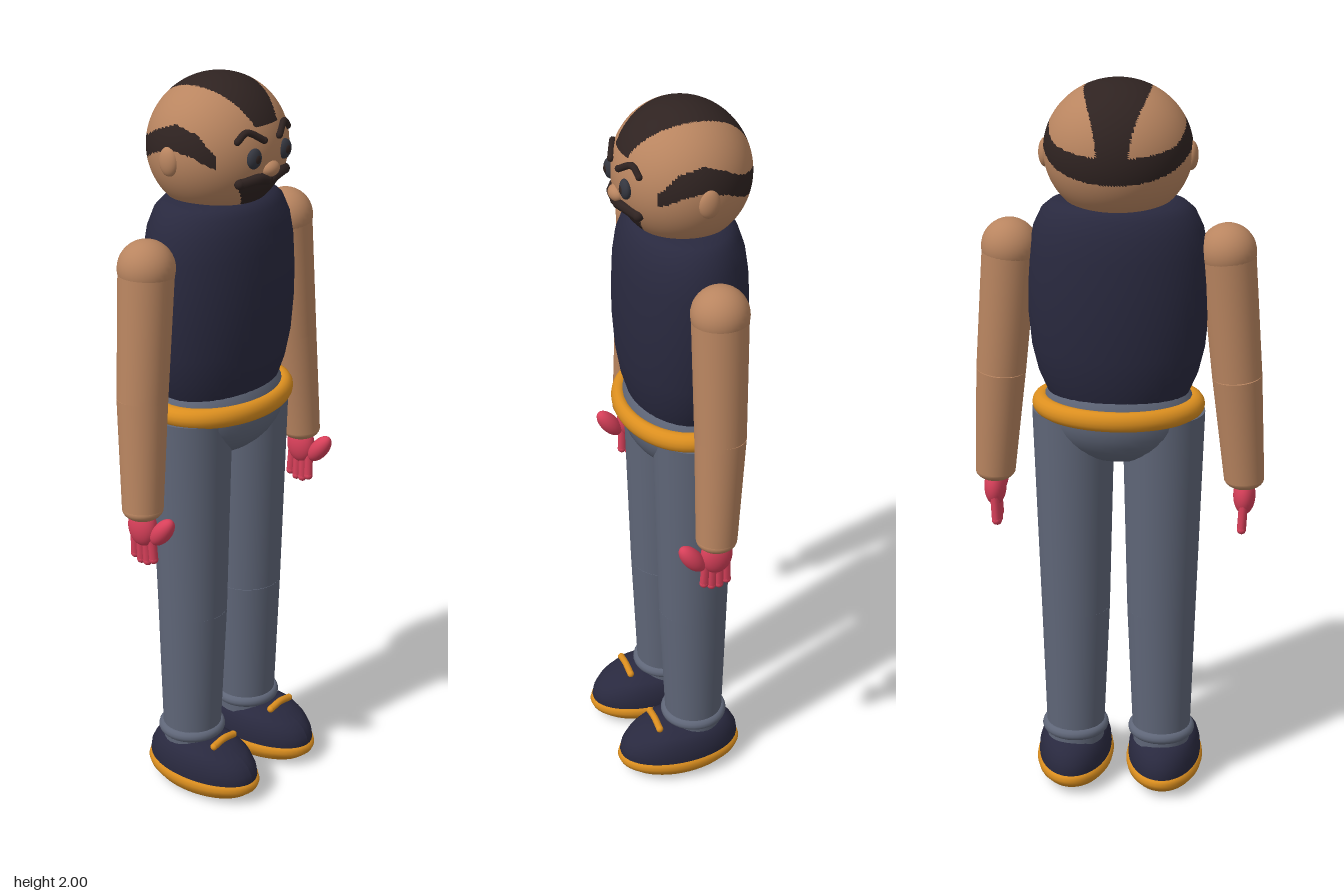
import * as THREE from 'three';

const mat = (name, color) => {
  const m = new THREE.MeshStandardMaterial({ color });
  m.name = name;
  return m;
};
const V = (x, y, z) => new THREE.Vector3(x, y, z);

// Head ellipsoid: centre and half sizes
const HC = V(0, 1.82, -0.026), HR = V(0.19, 0.18, 0.175);
const faceZ = (x, y) =>
  HC.z + HR.z * Math.sqrt(Math.max(0, 1 - (x / HR.x) ** 2 - ((y - HC.y) / HR.y) ** 2));

// Linear interpolation through [position, value] pairs
function ramp(pairs, t) {
  if (t <= pairs[0][0]) return pairs[0][1];
  for (let i = 1; i < pairs.length; i++) {
    const [a, b] = [pairs[i - 1], pairs[i]];
    if (t <= b[0]) return a[1] + ((b[1] - a[1]) * (t - a[0])) / (b[0] - a[0]);
  }
  return pairs[pairs.length - 1][1];
}

// Which points of the head are covered by hair or beard
const bandMiddle = [[-0.2, 1.8], [-0.13, 1.825], [-0.08, 1.852], [-0.02, 1.873], [0.04, 1.858], [0.085, 1.82]];
const bandHalf = [[-0.2, 0.036], [-0.12, 0.028], [-0.02, 0.03], [0.05, 0.028], [0.09, 0.016]];
function isHair({ x, y, z }) {
  const ax = Math.abs(x);
  const stripe = ax < 0.085 - 0.042 * ((z + 0.03) / 0.16) ** 2;
  if (stripe && (z > 0 ? y > 1.895 : y > 1.8)) return true;
  if (z < 0.088 && Math.abs(y - ramp(bandMiddle, z)) < ramp(bandHalf, z)) return true;
  return z > 0 && y < 1.765 && y > 1.67 && ax < ramp([[1.68, 0.04], [1.74, 0.085], [1.765, 0.075]], y);
}

export function createModel() {
  const skin = mat('skin', 0xb98560);
  const hair = mat('hair', 0x2f2321);
  const navy = mat('navy cloth', 0x29293f);
  const grey = mat('grey trousers', 0x5f6678);
  const gold = mat('gold trim', 0xdc8f1f);
  const red = mat('red glove', 0xd8405a);
  const eyeDark = mat('eye', 0x34363f);

  const model = new THREE.Group();
  model.name = 'standingMan';
  const group = (name) => {
    const g = new THREE.Group();
    g.name = name;
    model.add(g);
    return g;
  };
  const add = (parent, name, geo, material) => {
    const m = new THREE.Mesh(geo, material);
    m.name = name;
    parent.add(m);
    return m;
  };
  const ball = (parent, name, material, c, r) => {
    const m = add(parent, name, new THREE.SphereGeometry(1, 32, 20), material);
    m.position.copy(c);
    m.scale.copy(r);
    return m;
  };
  // Tapered round limb from a (top) to b (bottom)
  const limb = (parent, name, material, a, b, ra, rb) => {
    const m = add(parent, name, new THREE.CylinderGeometry(ra, rb, a.distanceTo(b), 32), material);
    m.position.copy(a).lerp(b, 0.5);
    m.quaternion.setFromUnitVectors(V(0, 1, 0), a.clone().sub(b).normalize());
    return m;
  };
  const tube = (parent, name, material, pts, r) => {
    add(parent, name, new THREE.TubeGeometry(new THREE.CatmullRomCurve3(pts), 16, r, 8), material);
    for (const p of [pts[0], pts[pts.length - 1]]) ball(parent, name + 'End', material, p, V(r, r, r));
  };
  const lathe = (parent, name, material, profile, c, sx, sz) => {
    const pts = profile.map(([r, y]) => new THREE.Vector2(r, y));
    const m = add(parent, name, new THREE.LatheGeometry(pts, 48), material);
    m.position.copy(c);
    m.scale.set(sx, 1, sz);
    return m;
  };

  // Head: one fine ellipsoid, its faces sorted into skin and hair
  const head = group('head');
  const geo = new THREE.SphereGeometry(1, 160, 112);
  geo.scale(HR.x, HR.y, HR.z).translate(HC.x, HC.y, HC.z);
  const pos = geo.attributes.position, idx = geo.index.array;
  const sorted = [[], []];
  for (let i = 0; i < idx.length; i += 3) {
    const tri = [idx[i], idx[i + 1], idx[i + 2]];
    const c = V(0, 0, 0);
    tri.forEach((k) => c.add(V(pos.getX(k), pos.getY(k), pos.getZ(k))));
    sorted[isHair(c.divideScalar(3)) ? 1 : 0].push(...tri);
  }
  geo.setIndex([...sorted[0], ...sorted[1]]);
  geo.addGroup(0, sorted[0].length, 0);
  geo.addGroup(sorted[0].length, sorted[1].length, 1);
  add(head, 'skullAndHair', geo, [skin, hair]);

  ball(head, 'nose', skin, V(0, 1.783, 0.142), V(0.029, 0.021, 0.022));
  for (const s of [1, -1]) {
    const onFace = (x, y, out) => V(s * x, y, faceZ(x, y) + out);
    ball(head, 'ear', skin, V(s * 0.185, 1.81, -0.03), V(0.018, 0.038, 0.028));
    ball(head, 'eye', eyeDark, onFace(0.06, 1.82, 0), V(0.024, 0.026, 0.014));
    ball(head, 'pupil', hair, onFace(0.06, 1.82, 0.008), V(0.012, 0.013, 0.008));
    tube(head, 'eyebrow', hair,
      [onFace(0.1, 1.867, 0.003), onFace(0.075, 1.886, 0.005), onFace(0.03, 1.862, 0.005)], 0.009);
    tube(head, 'moustache', hair,
      [onFace(0.01, 1.758, 0.004), onFace(0.045, 1.765, 0.004), onFace(0.09, 1.758, 0.002)], 0.014);
  }

  // Torso, belt and hips
  const body = group('body');
  lathe(body, 'vest', navy, [[0.72, 1.14], [0.8, 1.18], [0.89, 1.23], [0.96, 1.3], [1, 1.4], [1, 1.48],
    [0.98, 1.56], [0.93, 1.62], [0.84, 1.665], [0.74, 1.685], [0.6, 1.697], [0, 1.7]],
  V(0, 0, -0.022), 0.236, 0.167);
  const belt = add(body, 'belt', new THREE.TorusGeometry(0.202, 0.027, 16, 64).rotateX(Math.PI / 2), gold);
  belt.position.set(0, 1.138, -0.021);
  belt.scale.set(1, 1, 0.755);
  ball(body, 'hips', grey, V(0, 1.12, -0.021), V(0.205, 0.142, 0.15));

  for (const s of [1, -1]) {
    const side = s > 0 ? 'left' : 'right';

    // Leg with cuff
    const leg = group(side + 'Leg');
    const hip = V(s * 0.12, 1.12, -0.02), knee = V(s * 0.118, 0.54, -0.02), ankle = V(s * 0.121, 0.13, -0.023);
    limb(leg, 'thigh', grey, hip, knee, 0.11, 0.094);
    limb(leg, 'shin', grey, knee, ankle, 0.094, 0.079);
    const cuff = add(leg, 'cuff', new THREE.TorusGeometry(0.077, 0.016, 12, 40).rotateX(Math.PI / 2), grey);
    cuff.position.set(s * 0.121, 0.168, -0.023);

    // Shoe with sole and lace bar
    const shoe = group(side + 'Shoe');
    const at = V(s * 0.127, 0, 0.024);
    lathe(shoe, 'sole', gold, [[0, 0], [0.6, 0.005], [0.85, 0.016], [0.97, 0.034], [1, 0.047],
      [0.98, 0.06], [0.9, 0.066], [0, 0.066]], at, 0.108, 0.181);
    const upper = lathe(shoe, 'upper', navy, [[0.95, 0.05], [0.97, 0.07], [0.95, 0.095], [0.88, 0.12],
      [0.76, 0.137], [0.55, 0.148], [0.3, 0.153], [0, 0.155]], at, 0.105, 0.18);
    // Lower the toe a little
    const up = upper.geometry.attributes.position;
    for (let i = 0; i < up.count; i++) {
      const z = up.getZ(i), y = up.getY(i);
      if (z > 0.3) up.setY(i, y - (y - 0.05) * 0.35 * (z - 0.3));
    }
    upper.geometry.computeVertexNormals();
    tube(shoe, 'laceBar', gold, [V(s * 0.085, 0.158, 0.096), V(s * 0.127, 0.164, 0.096), V(s * 0.169, 0.158, 0.096)], 0.01);

    // Arm
    const arm = group(side + 'Arm');
    const shoulder = V(s * 0.282, 1.56, -0.024), elbow = V(s * 0.312, 1.22, -0.018), wrist = V(s * 0.336, 0.925, -0.002);
    ball(arm, 'shoulder', skin, shoulder, V(0.074, 0.074, 0.074));
    limb(arm, 'upperArm', skin, shoulder, elbow, 0.072, 0.066);
    limb(arm, 'forearm', skin, elbow, wrist, 0.066, 0.054);
    ball(arm, 'wrist', skin, wrist, V(0.054, 0.03, 0.054));

    // Gloved hand
    const hand = group(side + 'Hand');
    ball(hand, 'palm', red, V(s * 0.338, 0.875, -0.002), V(0.03, 0.055, 0.043));
    for (let i = 0; i < 4; i++) {
      const z = 0.03 - i * 0.021, tip = 0.775 + (i === 0 || i === 3 ? 0.01 : 0);
      tube(hand, 'finger', red, [V(s * 0.337, 0.86, z * 0.9), V(s * 0.333, tip, z)], 0.012);
    }
    const thumb = ball(hand, 'thumb', red, V(s * 0.337, 0.877, 0.065), V(0.026, 0.05, 0.025));
    thumb.rotation.x = 0.65;
  }
  return model;
}
